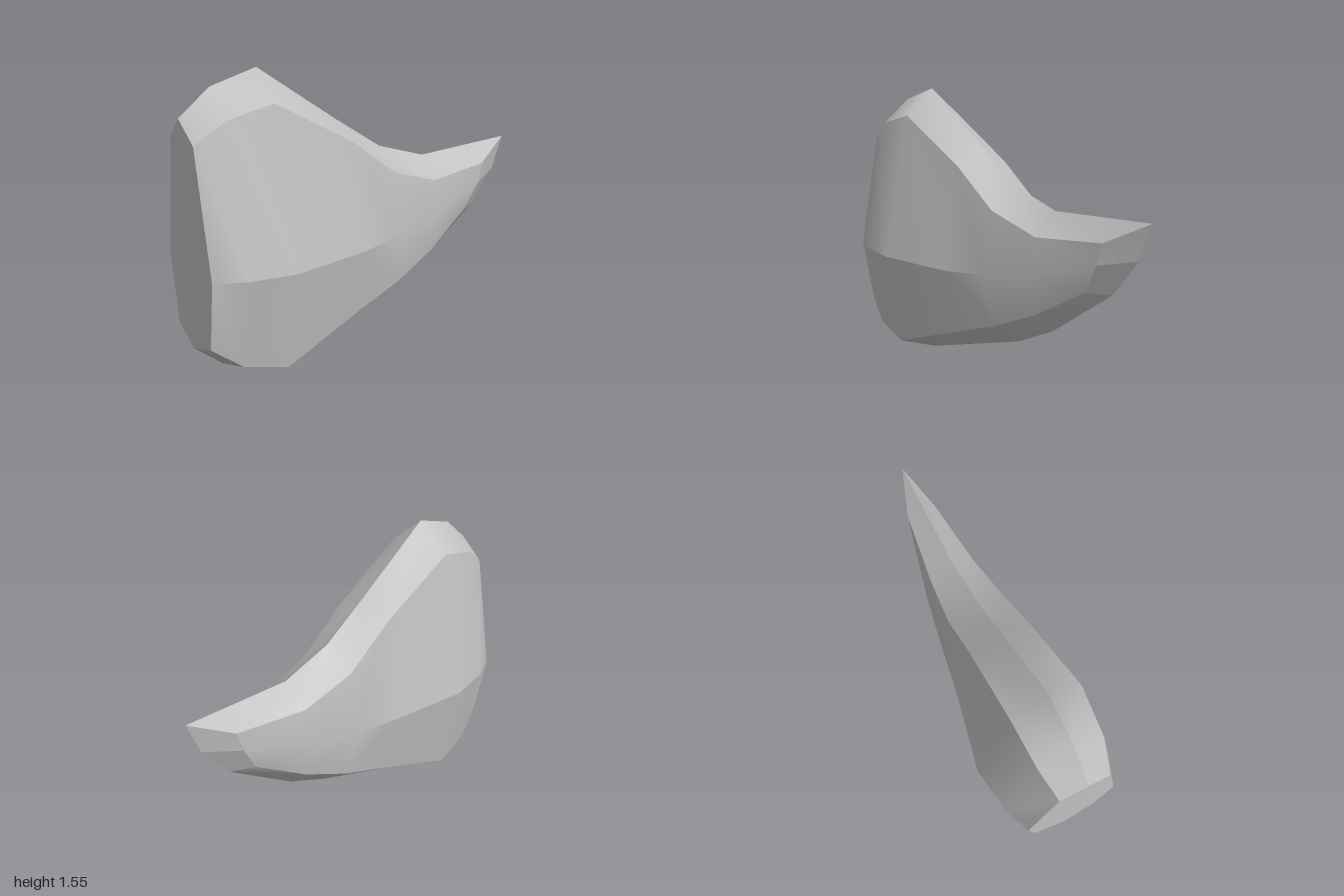
import * as THREE from 'three';

// Half cross-sections from back to front: ridge, shoulder, flank, chine, keel as [x, y, z]
const sections = [
  [[-1, 1.35, 0], [-0.99, 1.245, 0.13], [-0.99, 0.63, 0.25], [-0.99, 0.27, 0.19], [-1, 0.205, 0]],
  [[-0.84, 1.48, 0], [-0.84, 1.35, 0.165], [-0.84, 0.625, 0.31], [-0.84, 0.155, 0.23], [-0.85, 0.075, 0]],
  [[-0.6, 1.55, 0], [-0.6, 1.405, 0.178], [-0.6, 0.62, 0.345], [-0.61, 0.095, 0.252], [-0.61, 0, 0]],
  [[-0.16, 1.25, 0], [-0.16, 1.16, 0.165], [-0.16, 0.61, 0.255], [-0.16, 0.255, 0.195], [-0.16, 0.14, 0]],
  [[0.11, 1.075, 0], [0.1, 0.965, 0.16], [0.1, 0.635, 0.215], [0.13, 0.355, 0.167], [0.13, 0.23, 0]],
  [[0.4, 0.985, 0], [0.39, 0.87, 0.13], [0.39, 0.67, 0.165], [0.39, 0.47, 0.125], [0.39, 0.355, 0]],
  [[1, 1.015, 0], [0.78, 0.9, 0.08], [0.75, 0.79, 0.085], [0.67, 0.64, 0.065], [0.78, 0.635, 0]],
];
const chin = [0.93, 0.83, 0];

// Collects vertices by key, so equal keys share a smooth normal
function makeBuilder() {
  const positions = [], index = [], keys = new Map();
  const vertex = (key, [x, y, z], side) => {
    const id = `${key}|${side}`;
    if (!keys.has(id)) {
      keys.set(id, positions.length / 3);
      positions.push(x, y, z * side);
    }
    return keys.get(id);
  };
  return {
    // corners are [key, point], counter-clockwise on the +z side
    polygon(corners, side) {
      const v = corners.map(([key, point]) => vertex(key, point, side));
      for (let k = 1; k < v.length - 1; k++) {
        if (side > 0) index.push(v[0], v[k], v[k + 1]);
        else index.push(v[0], v[k + 1], v[k]);
      }
    },
    mesh(name, material) {
      const geometry = new THREE.BufferGeometry();
      geometry.setAttribute('position', new THREE.Float32BufferAttribute(positions, 3));
      geometry.setIndex(index);
      geometry.computeVertexNormals();
      const mesh = new THREE.Mesh(geometry, material);
      mesh.name = name;
      return mesh;
    },
  };
}

export function createModel() {
  const group = new THREE.Group();
  group.name = 'hull';
  const grey = new THREE.MeshStandardMaterial({ color: 0xc0c0c0 });
  grey.name = 'grey';

  const body = makeBuilder(), nose = makeBuilder(), back = makeBuilder();
  const last = sections[sections.length - 1], first = sections[0];
  const flat = (name, points) => points.map((p, k) => [`${name}${k}`, p]);

  for (const side of [1, -1]) {
    // Long strips: smooth lengthwise, creased between strips; the flank crease fades at both ends
    for (let j = 0; j < 4; j++) {
      const corner = (i, row) => {
        const soft = row === 2 && (i === 0 || i >= 4);
        return [soft ? `flank${i}` : `${j},${row},${i}`, sections[i][row]];
      };
      for (let i = 0; i < sections.length - 1; i++) {
        body.polygon([corner(i, j), corner(i, j + 1), corner(i + 1, j + 1), corner(i + 1, j)], side);
      }
    }
    // Faceted nose
    nose.polygon(flat('upper', [last[1], last[2], chin, last[0]]), side);
    nose.polygon(flat('lower', [last[2], last[3], last[4], chin]), side);
    // Flat back
    back.polygon(flat('back', [...first].reverse()), side);
  }

  group.add(body.mesh('body', grey), nose.mesh('nose', grey), back.mesh('backPanel', grey));
  return group;
}
